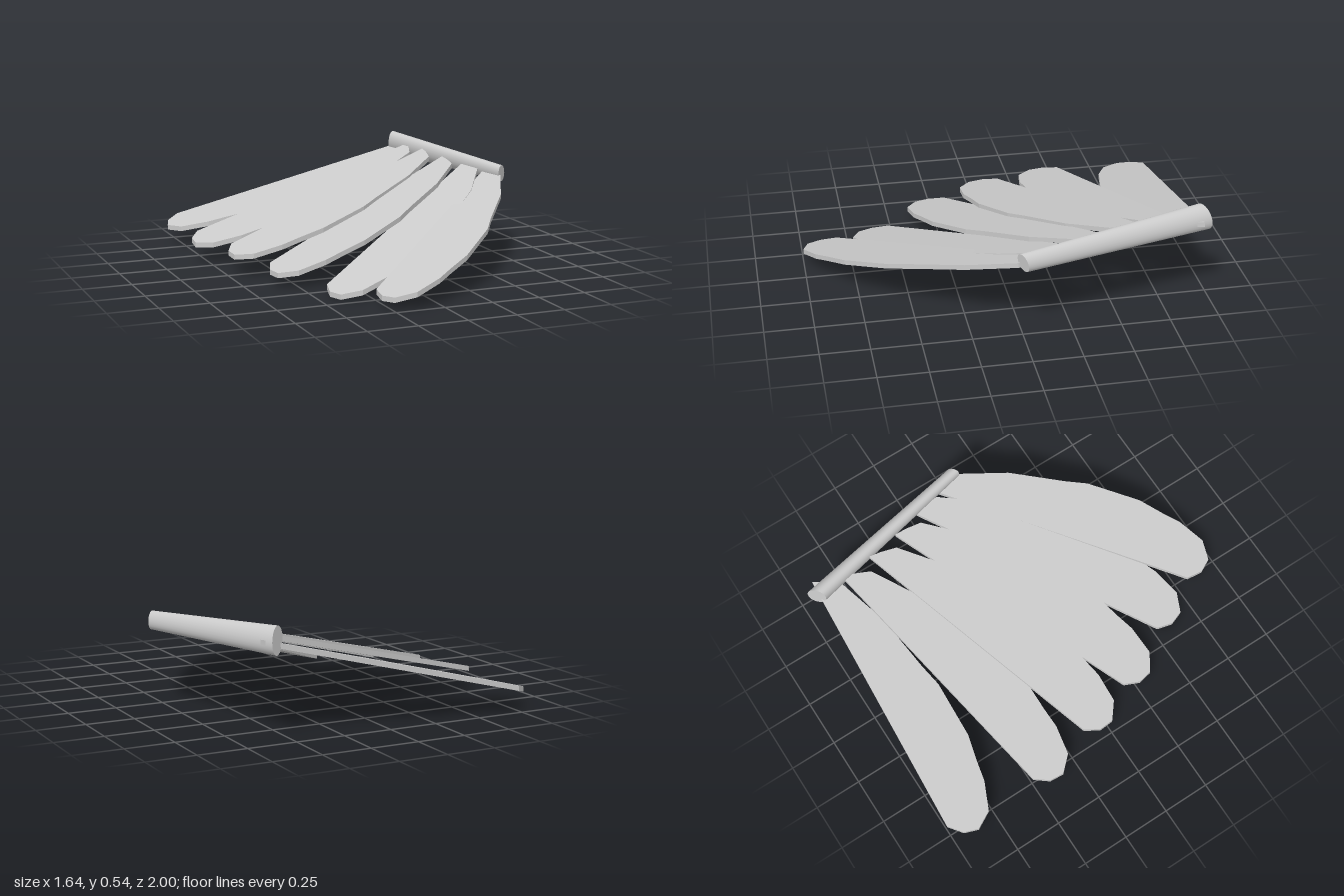
import * as THREE from 'three';

const material = new THREE.MeshStandardMaterial({ color: 0xcccccc });
const flatMaterial = new THREE.MeshStandardMaterial({ color: 0xcccccc, flatShading: true });

// Moves every vertex of a geometry by a rule
function warp(geometry, rule) {
  const p = geometry.attributes.position;
  const v = new THREE.Vector3();
  for (let i = 0; i < p.count; i++) {
    rule(v.fromBufferAttribute(p, i));
    p.setXYZ(i, v.x, v.y, v.z);
  }
  geometry.computeVertexNormals();
  return geometry;
}

// Feather outline: distance from the root, distance from the straight edge
const OUTLINE = [
  [-0.01, 0.0], [1.37, 0.0], [1.435, 0.06], [1.455, 0.135], [1.4, 0.225],
  [1.26, 0.28], [1.16, 0.295], [1.02, 0.322], [0.73, 0.315], [0.61, 0.285],
  [0.315, 0.227], [0.065, 0.13], [0.02, 0.06],
].map(([s, w]) => new THREE.Vector2(s, w));
const THICKNESS = 0.026;

// root: x, y, z; corner: x, z where the straight edge ends; tipY: height of the tip
const FEATHERS = [
  { root: [0.64, 0.475, -0.93], corner: [-0.74, -1.0], tipY: 0.1 },
  { root: [0.58, 0.48, -0.785], corner: [-0.76, -0.5], tipY: 0.105 },
  { root: [0.6, 0.475, -0.61], corner: [-0.68, -0.14], tipY: 0.108 },
  { root: [0.64, 0.455, -0.43], corner: [-0.58, 0.18], tipY: 0.073 },
  { root: [0.7, 0.44, -0.28], corner: [-0.41, 0.52], tipY: 0.024 },
  { root: [0.74, 0.42, -0.11], corner: [-0.27, 0.81], tipY: 0.062 },
];

function makeFeather({ root, corner, tipY }, tilt) {
  const d = new THREE.Vector2(corner[0] - root[0], corner[1] - root[2]).normalize();
  const geometry = new THREE.ExtrudeGeometry(new THREE.Shape(OUTLINE), {
    depth: THICKNESS, bevelEnabled: false,
  });
  // Swing the blade about its root, slope it down to the tip and tilt it sideways
  warp(geometry, (v) => {
    const s = v.x, w = v.y, f = s / 1.45;
    const h = v.z - THICKNESS / 2;
    const y = root[1] + (tipY - root[1]) * f + tilt * (w - 0.13 * f) + h;
    v.set(root[0] + d.x * s + d.y * w, y, root[2] + d.y * s - d.x * w);
  });
  return new THREE.Mesh(geometry, flatMaterial);
}

// Tapered rod with slightly skewed oval ends
function makeRod() {
  const back = new THREE.Vector3(0.573, 0.482, -0.948);
  const front = new THREE.Vector3(0.795, 0.437, 0.01);
  const across = new THREE.Vector3(0.041, 0, -0.03);
  const up = new THREE.Vector3(-0.008, 0.067, 0.014);
  const geometry = warp(new THREE.CylinderGeometry(1, 1, 1, 24), (v) => {
    const t = v.y + 0.5, a = v.x, b = -v.z;
    const size = THREE.MathUtils.lerp(1, 0.68, t);
    v.lerpVectors(back, front, t).addScaledVector(across, a * size).addScaledVector(up, b * size);
  });
  return new THREE.Mesh(geometry, material);
}

export function createModel() {
  const model = new THREE.Group();
  model.name = 'wing';

  const rod = makeRod();
  rod.name = 'wingRod';
  model.add(rod);

  // Fan of feathers, from the back to the front
  FEATHERS.forEach((spec, i) => {
    const feather = makeFeather(spec, -0.1 + 0.042 * i);
    feather.name = `feather${i + 1}`;
    model.add(feather);
  });
  return model;
}
